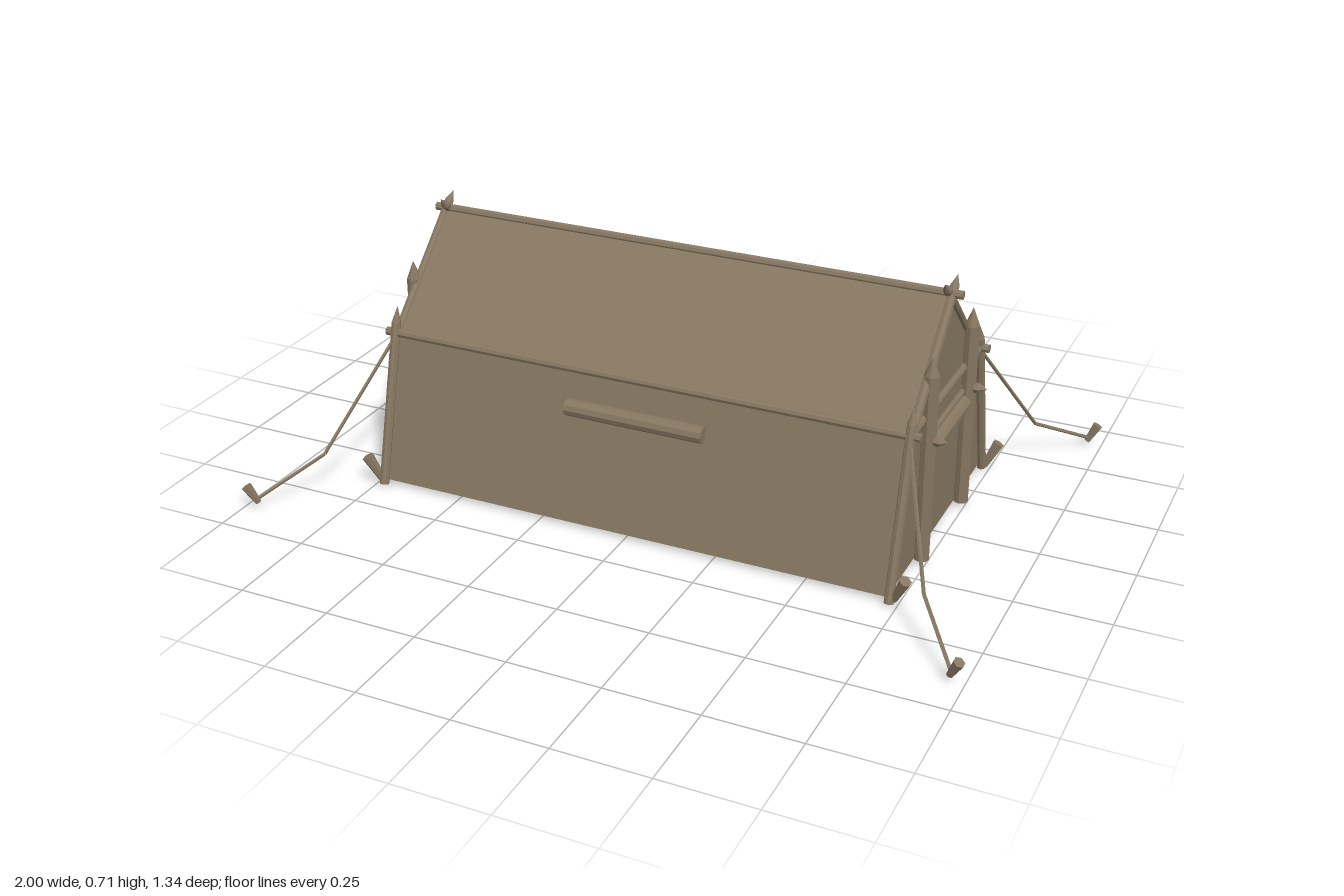
import * as THREE from 'three';

export function createModel() {
  const tent = new THREE.Group();
  tent.name = 'tent';
  const canvas = new THREE.MeshStandardMaterial({ color: 0x867761, side: THREE.DoubleSide, flatShading: true });
  canvas.name = 'canvas and wood';

  const add = (name, geometry, parent = tent) => {
    const mesh = new THREE.Mesh(geometry, canvas);
    mesh.name = name;
    parent.add(mesh);
    return mesh;
  };

  // Straight pole from a to b, with an optional sharpened tip beyond b
  const pole = (name, a, b, r0, r1 = r0, tip = 0, sides = 8) => {
    const start = new THREE.Vector3(...a), end = new THREE.Vector3(...b);
    const length = start.distanceTo(end);
    const group = new THREE.Group();
    group.name = name;
    group.position.copy(start);
    group.quaternion.setFromUnitVectors(new THREE.Vector3(0, 1, 0), end.sub(start).normalize());
    add(name + 'Shaft', new THREE.CylinderGeometry(r1, r0, length, sides).translate(0, length / 2, 0), group);
    if (tip) add(name + 'Tip', new THREE.ConeGeometry(r1, tip, sides, 1, true).translate(0, length + tip / 2, 0), group);
    tent.add(group);
  };

  // Canvas cross-section (z, y): wall foot, eave, ridge, eave, wall foot
  const profile = [[0.38, 0.022], [0.28, 0.42], [0, 0.69], [-0.28, 0.42], [-0.38, 0.022]];
  const names = ['frontWall', 'frontRoof', 'backRoof', 'backWall'];
  names.forEach((name, i) => {
    const [z0, y0] = profile[i], [z1, y1] = profile[i + 1];
    const w = 0.72;
    const geometry = new THREE.BufferGeometry();
    geometry.setAttribute('position', new THREE.Float32BufferAttribute(
      [-w, y0, z0, w, y0, z0, w, y1, z1, -w, y1, z1], 3));
    geometry.setIndex([0, 1, 2, 0, 2, 3]);
    geometry.computeVertexNormals();
    add(name, geometry);
  });

  // Ridge and eave poles running the length of the tent
  pole('ridgePole', [-0.755, 0.685, 0], [0.755, 0.685, 0], 0.012);
  for (const s of [-1, 1]) {
    pole('eavePole', [-0.755, 0.422, s * 0.283], [0.755, 0.422, s * 0.283], 0.012);
    // Rolled window flap on the long wall
    pole('windowRoll', [-0.195, 0.323, s * 0.313], [0.195, 0.323, s * 0.313], 0.023, 0.023, 0, 10);
  }

  const endShape = new THREE.Shape(profile.map(([z, y]) => new THREE.Vector2(z, y)));
  for (const e of [-1, 1]) {
    // Closed end wall
    const end = add('endWall', new THREE.ShapeGeometry(endShape));
    end.rotation.y = e * Math.PI / 2;
    end.position.x = e * 0.72;

    // Cross beam, door rail and rolled door flap
    pole('crossBeam', [e * 0.725, 0.42, -0.28], [e * 0.725, 0.42, 0.28], 0.011);
    pole('doorRail', [e * 0.726, 0.35, -0.16], [e * 0.726, 0.35, 0.16], 0.008);
    pole('doorRoll', [e * 0.733, 0.322, -0.14], [e * 0.733, 0.322, 0.14], 0.022, 0.022, 0, 10);

    for (const s of [-1, 1]) {
      // Rafters crossing above the ridge
      pole('rafter', [e * (0.722 + s * 0.004), 0.41, s * 0.285], [e * (0.722 + s * 0.004), 0.7, s * -0.017],
        0.012, 0.012, 0.032);
      // Sloping corner poles
      pole('cornerPole', [e * 0.728, 0.012, s * 0.39], [e * 0.728, 0.45, s * 0.279], 0.013, 0.013, 0.045);
      // Sharpened door posts with pegs
      pole('doorPost', [e * 0.737, 0.02, s * 0.166], [e * 0.737, 0.535, s * 0.166], 0.02, 0.02, 0.05);
      pole('postPeg', [e * 0.70, 0.36, s * 0.166], [e * 0.765, 0.36, s * 0.166], 0.014, 0.014, 0.022, 6);
      // Corner stakes
      pole('cornerStake', [e * 0.738, 0.022, s * 0.383], [e * 0.77, 0.09, s * 0.398], 0.01, 0.017, 0, 6);
      // Guy rope with a bend, and its stake
      const bend = [e * 0.845, 0.125, s * 0.49];
      pole('guyRope', [e * 0.725, 0.42, s * 0.285], bend, 0.005, 0.005, 0, 5);
      pole('guyRopeEnd', bend, [e * 0.965, 0.036, s * 0.642], 0.005, 0.005, 0, 5);
      pole('guyStake', [e * 0.962, 0.026, s * 0.641], [e * 0.986, 0.074, s * 0.653], 0.009, 0.015, 0, 6);
    }
  }
  return tent;
}
